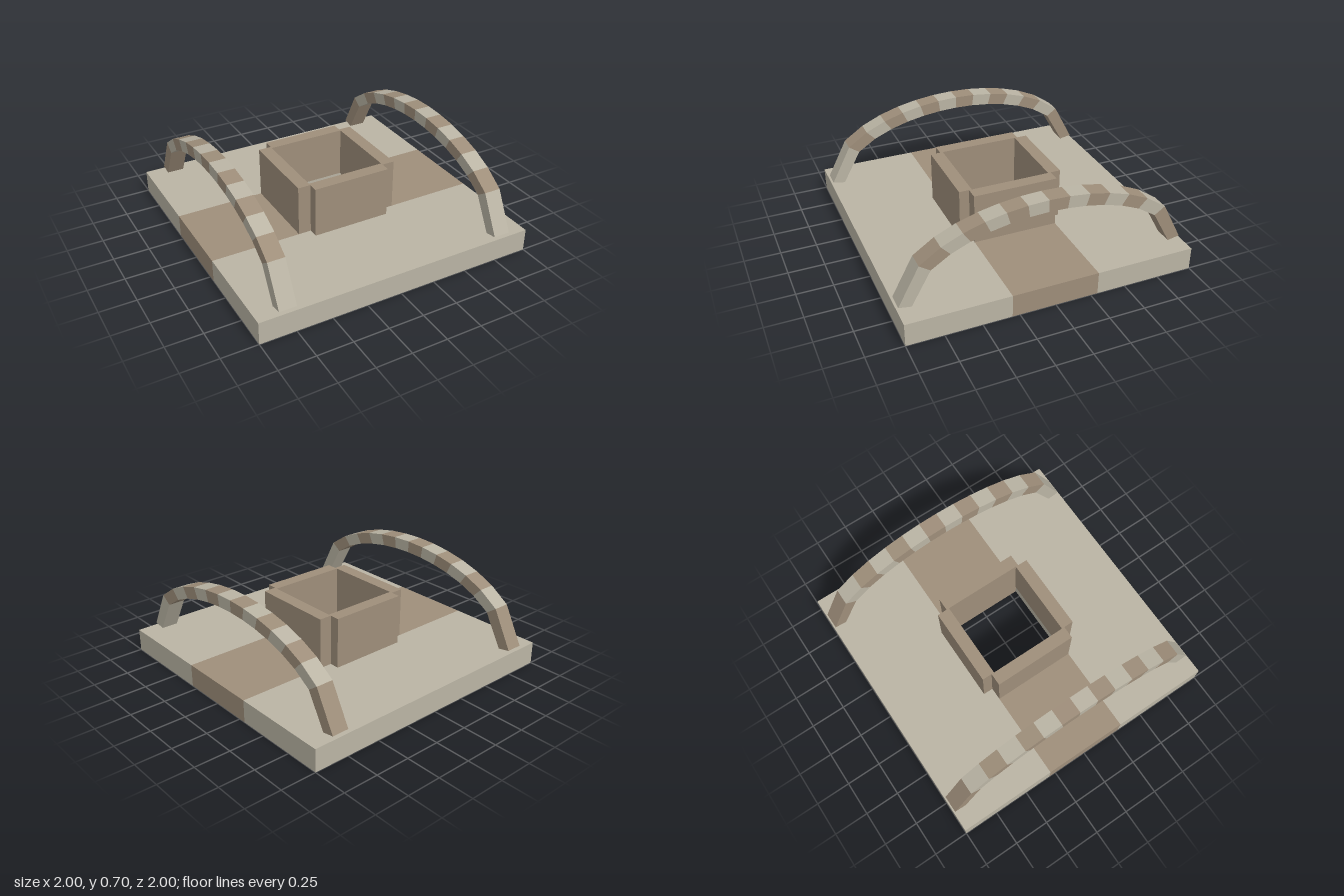
import * as THREE from 'three';

export function createModel() {
  const model = new THREE.Group();
  const stone = new THREE.MeshStandardMaterial({ color: 0xbab4a4 });
  stone.name = 'paleStone';
  const brick = new THREE.MeshStandardMaterial({ color: 0x9e8e7a });
  brick.name = 'brownBrick';

  const box = (name, mat, w, h, d, x, y, z) => {
    const mesh = new THREE.Mesh(new THREE.BoxGeometry(w, h, d), mat);
    mesh.name = name;
    mesh.position.set(x, y, z);
    model.add(mesh);
  };

  // Floor: pale slabs front and back, brown band between with a square opening.
  // Curb: four walls round the opening, slightly overhanging its edge.
  for (const s of [1, -1]) {
    box('floorSlab', stone, 2, 0.16, 0.7, 0, 0.08, s * 0.65);
    box('floorBand', brick, 0.7, 0.16, 0.6, s * 0.65, 0.08, 0);
    box('curbWallEnd', brick, 0.56, 0.36, 0.09, 0, 0.34, s * 0.325);
    box('curbWallSide', brick, 0.09, 0.36, 0.6, s * 0.325, 0.34, 0);
  }

  // Arches: 14 wedge blocks on half ellipses, alternating colours front to back
  const count = 14, width = 0.12;
  const outer = t => [0.99 * t, 0.18 + 0.52 * Math.sqrt(1 - t * t)];
  const inner = t => [0.905 * t, 0.165 + 0.45 * Math.sqrt(1 - t * t)];
  for (const x of [0.8, -0.8]) {
    const arch = new THREE.Group();
    arch.name = x > 0 ? 'leftArch' : 'rightArch';
    for (let i = 0; i < count; i++) {
      const t0 = 1 - (2 * i) / count, t1 = 1 - (2 * (i + 1)) / count;
      const corners = [inner(t0), outer(t0), outer(t1), inner(t1)];
      const shape = new THREE.Shape(corners.map(p => new THREE.Vector2(...p)));
      const geo = new THREE.ExtrudeGeometry(shape, { depth: width, bevelEnabled: false });
      geo.translate(0, 0, -width / 2).rotateY(-Math.PI / 2);
      const block = new THREE.Mesh(geo, i % 2 ? brick : stone);
      block.name = 'archBlock';
      arch.add(block);
    }
    arch.position.x = x;
    model.add(arch);
  }
  return model;
}
